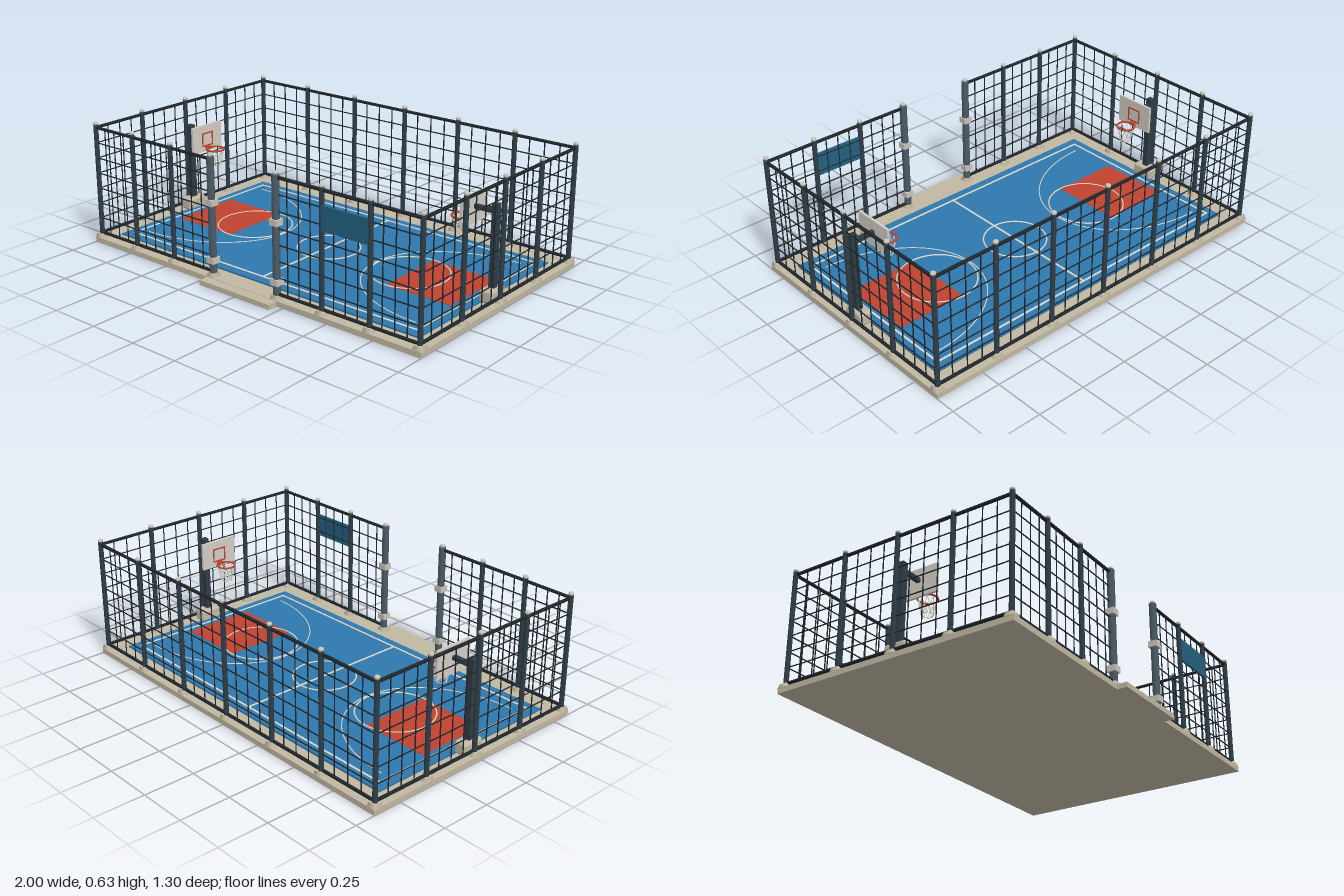
import * as THREE from 'three';
import { RoundedBoxGeometry } from 'three/addons/geometries/RoundedBoxGeometry.js';

const mat = (color, extra = {}) => new THREE.MeshStandardMaterial({ color, ...extra });
const M = {
  stone: mat(0xc2b8a3), blue: mat(0x2f78ad), red: mat(0xc0432f), line: mat(0xdcd8cc),
  post: mat(0x2f3d47), gate: mat(0x4b5b66), wire: mat(0x1f262b), cap: mat(0xc9c4b8),
  board: mat(0xd2cec4), sign: mat(0x23607f),
};
const CZ = -0.022; // court centre line in z

export function createModel() {
  const root = new THREE.Group();
  root.name = 'sportsCourt';

  const add = (parent, name, geo, material, x = 0, y = 0, z = 0) => {
    const m = new THREE.Mesh(geo, material);
    m.name = name;
    m.position.set(x, y, z);
    parent.add(m);
    return m;
  };
  const box = (parent, name, material, w, h, d, x, y, z) =>
    add(parent, name, new THREE.BoxGeometry(w, h, d), material, x, y, z);
  // Round bar between two points
  const bar = (parent, name, material, a, b, r, sides = 8) => {
    const dir = b.clone().sub(a);
    const m = add(parent, name, new THREE.CylinderGeometry(r, r, dir.length(), sides), material);
    m.position.copy(a).add(b).multiplyScalar(0.5);
    m.quaternion.setFromUnitVectors(new THREE.Vector3(0, 1, 0), dir.normalize());
    return m;
  };
  const V = (x, y, z) => new THREE.Vector3(x, y, z);
  const group = (name, parent = root) => {
    const g = new THREE.Group();
    g.name = name;
    parent.add(g);
    return g;
  };

  // Slab, entrance step and playing surface
  box(root, 'slab', M.stone, 2, 0.027, 1.25, 0, 0.0135, -0.025);
  box(root, 'entranceStep', M.stone, 0.43, 0.025, 0.05, 0, 0.0125, 0.625);
  box(root, 'playingSurface', M.blue, 1.835, 0.009, 1.045, 0, 0.031, CZ);

  // Court markings
  const marks = group('courtMarkings');
  for (const s of [-1, 1]) {
    box(marks, 'sideLine', M.line, 1.76, 0.003, 0.01, 0, 0.0365, CZ + s * 0.475);
    box(marks, 'endLine', M.line, 0.01, 0.003, 0.96, s * 0.875, 0.0365, CZ);
    box(marks, 'keyArea', M.red, 0.355, 0.002, 0.37, s * 0.6675, 0.036, CZ);
  }
  box(marks, 'centreLine', M.line, 0.01, 0.003, 0.95, 0, 0.0365, CZ);
  for (const [x, r] of [[0, 0.155], [-0.49, 0.19], [0.49, 0.19]]) {
    const ring = add(marks, 'circleLine', new THREE.TorusGeometry(r, 0.004, 6, 64), M.line, x, 0.036, CZ);
    ring.rotation.x = Math.PI / 2;
  }
  for (const s of [-1, 1]) {
    const pts = [];
    for (let i = 0; i <= 32; i++) {
      const t = -Math.PI / 2 + (Math.PI * i) / 32;
      pts.push(V(s * (0.83 - 0.54 * Math.cos(t)), 0.036, CZ + 0.42 * Math.sin(t)));
    }
    add(marks, 'longShotArc', new THREE.TubeGeometry(new THREE.CatmullRomCurve3(pts), 64, 0.003, 6), M.line);
  }

  // Fence: posts on feet with round caps, rails and wire grid between them
  const fence = group('fence');
  const footGeo = new THREE.CylinderGeometry(0.026, 0.034, 0.02, 4).rotateY(Math.PI / 4);
  const capGeo = new THREE.SphereGeometry(0.013, 12, 8).scale(1, 0.8, 1);
  const addPost = (x, z, gate) => {
    const g = group(gate ? 'gatePost' : 'fencePost', fence);
    const r = gate ? 0.018 : 0.012;
    add(g, 'foot', footGeo, M.stone, x, 0.036, z);
    bar(g, 'shaft', gate ? M.gate : M.post, V(x, 0.03, z), V(x, 0.608, z), r, 12);
    add(g, 'cap', capGeo, M.cap, x, 0.615, z);
    if (gate) for (const y of [0.108, 0.39]) box(g, 'clamp', M.cap, 0.044, 0.03, 0.044, x, y, z);
  };
  const addPanel = (a, b) => {
    const g = group('fencePanel', fence);
    const at = (t, y) => V(a[0] + (b[0] - a[0]) * t, y, a[1] + (b[1] - a[1]) * t);
    for (const y of [0.05, 0.595]) bar(g, 'rail', M.wire, at(0, y), at(1, y), 0.008);
    for (let i = 1; i < 7; i++) {
      const y = 0.05 + (0.545 * i) / 7;
      bar(g, 'horizontalWire', M.wire, at(0, y), at(1, y), 0.003, 6);
    }
    for (let i = 1; i < 4; i++) bar(g, 'verticalWire', M.wire, at(i / 4, 0.05), at(i / 4, 0.595), 0.003, 6);
  };
  const addRun = (a, b, n) => {
    const p = (i) => [a[0] + ((b[0] - a[0]) * i) / n, a[1] + ((b[1] - a[1]) * i) / n];
    for (let i = 0; i < n; i++) {
      addPost(...p(i), i === 0 && Math.abs(a[0]) < 0.5);
      addPanel(p(i), p(i + 1));
    }
  };
  const X = 0.978, ZB = -0.625, ZF = 0.575;
  addRun([-0.197, ZF], [-X, ZF], 3);
  addRun([-X, ZF], [-X, ZB], 4);
  addRun([-X, ZB], [X, ZB], 6);
  addRun([X, ZB], [X, ZF], 4);
  addRun([X, ZF], [0.197, ZF], 3);
  addPost(0.197, ZF, true);

  // Blank sign on the front fence
  box(root, 'signPanel', M.sign, 0.262, 0.115, 0.012, 0.585, 0.473, 0.58);

  // Basketball stands, built facing +x and turned for the other end
  const hoop = (s) => {
    const g = group(s < 0 ? 'rightHoop' : 'leftHoop');
    g.position.z = CZ;
    if (s > 0) g.rotation.y = Math.PI;
    add(g, 'standBase', new RoundedBoxGeometry(0.068, 0.065, 0.116, 3, 0.014), M.stone, -0.938, 0.058, 0);
    box(g, 'standPost', M.post, 0.03, 0.43, 0.03, -0.94, 0.267, 0);
    box(g, 'standArm', M.post, 0.115, 0.02, 0.02, -0.885, 0.445, 0);
    box(g, 'backboard', M.board, 0.012, 0.14, 0.205, -0.825, 0.435, 0);
    // Target frame on the board
    for (const k of [-1, 1]) {
      box(g, 'targetSide', M.red, 0.003, 0.066, 0.007, -0.818, 0.428, k * 0.035);
      box(g, 'targetEdge', M.red, 0.003, 0.007, 0.077, -0.818, 0.428 + k * 0.033, 0);
    }
    box(g, 'rimBracket', M.red, 0.022, 0.012, 0.03, -0.812, 0.384, 0);
    const cx = -0.763;
    const rim = add(g, 'rim', new THREE.TorusGeometry(0.045, 0.005, 8, 28), M.red, cx, 0.385, 0);
    rim.rotation.x = Math.PI / 2;
    // Net strands cross between the rim and a smaller lower ring
    const N = 10;
    const at = (i, r, y) => V(cx + r * Math.cos((i * 2 * Math.PI) / N), y, r * Math.sin((i * 2 * Math.PI) / N));
    for (let i = 0; i < N; i++) for (const k of [-0.5, 0.5]) {
      bar(g, 'netStrand', M.line, at(i, 0.044, 0.383), at(i + k, 0.034, 0.342), 0.0016, 5);
      bar(g, 'netStrand', M.line, at(i + k, 0.034, 0.342), at(i, 0.027, 0.306), 0.0016, 5);
    }
    const low = add(g, 'netRing', new THREE.TorusGeometry(0.027, 0.0018, 6, 20), M.line, cx, 0.306, 0);
    low.rotation.x = Math.PI / 2;
  };
  hoop(-1);
  hoop(1);

  return root;
}
